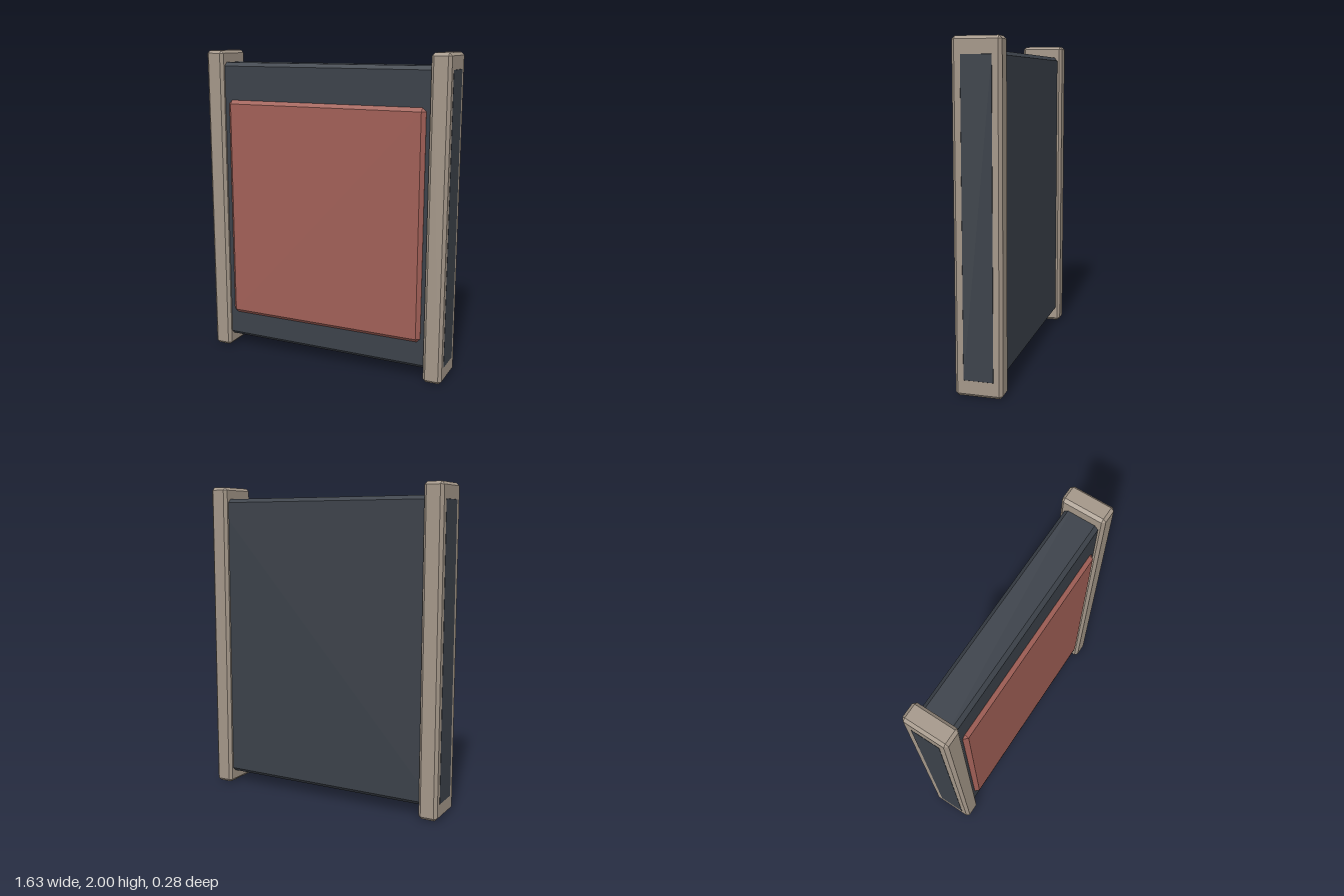
import * as THREE from 'three';
import { ConvexGeometry } from 'three/addons/geometries/ConvexGeometry.js';

// Box with every edge cut at 45 degrees by c
function chamferedBox(w, h, d, c) {
  const points = [];
  for (const x of [-1, 1]) for (const y of [-1, 1]) for (const z of [-1, 1]) {
    for (const face of [0, 1, 2]) {
      const inset = [0, 1, 2].map((axis) => (axis === face ? 0 : c));
      points.push(new THREE.Vector3(
        x * (w / 2 - inset[0]), y * (h / 2 - inset[1]), z * (d / 2 - inset[2])));
    }
  }
  return new ConvexGeometry(points);
}

export function createModel() {
  const model = new THREE.Group();
  model.name = 'panelWithPosts';

  const add = (name, size, chamfer, position, color) => {
    const material = new THREE.MeshStandardMaterial({ color, flatShading: true });
    const mesh = new THREE.Mesh(chamferedBox(...size, chamfer), material);
    mesh.name = name;
    mesh.position.set(...position);
    model.add(mesh);
  };

  // Side posts
  for (const [name, side] of [['leftPost', 1], ['rightPost', -1]]) {
    add(name, [0.12, 2, 0.28], 0.018, [side * 0.752, 1, 0], 0xa39688);
  }

  // Dark panel, its ends showing just proud of the posts' outer faces
  add('panel', [1.626, 1.85, 0.22], 0.023, [0, 1, 0], 0x3b4149);

  // Raised pad on the front, its back sunk into the panel
  add('frontPad', [1.33, 1.44, 0.08], 0.023, [0, 0.967, 0.094], 0xa05f56);

  return model;
}
